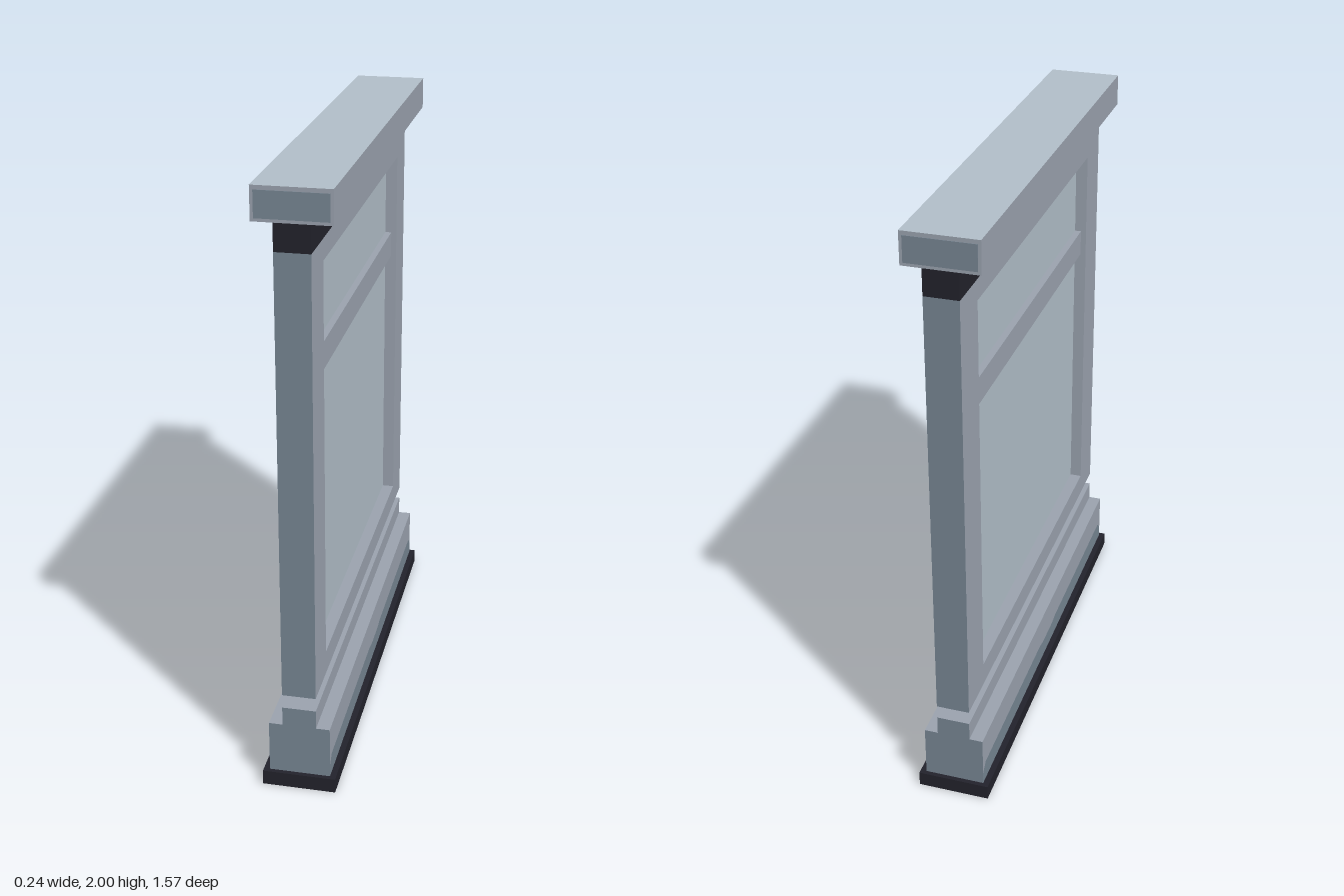
import * as THREE from 'three';

const mat = (name, color, side = THREE.FrontSide) => {
  const m = new THREE.MeshStandardMaterial({ color, side });
  m.name = name;
  return m;
};

export function createModel() {
  const group = new THREE.Group();
  const frameGrey = mat('frameGrey', 0x9aa2ae, THREE.DoubleSide);
  const slate = mat('slate', 0x768592, THREE.DoubleSide);
  const paleBlue = mat('paleBlue', 0xb1bec8);
  const nearBlack = mat('nearBlack', 0x22222b);

  const add = (name, geometry, material) => {
    const mesh = new THREE.Mesh(geometry, material);
    mesh.name = name;
    group.add(mesh);
    return mesh;
  };
  // Box from half width, height range and depth range
  const box = (name, hx, y0, y1, z0, z1, material) => {
    const m = add(name, new THREE.BoxGeometry(hx * 2, y1 - y0, z1 - z0), material);
    m.position.set(0, (y0 + y1) / 2, (z0 + z1) / 2);
    return m;
  };
  // Six face materials: sides, top, bottom, +z end, -z end
  const faces = (side, top, front, back) => [side, side, top, side, front, back];
  const outline = (points) => new THREE.Shape(points.map(([a, b]) => new THREE.Vector2(a, b)));

  const L = 0.77; // half length of the body
  const W = 0.055; // half thickness of the panel

  // Cap with inset end plates, and the dark band below it
  box('cap', 0.12, 1.895, 2, -L, L, faces(frameGrey, paleBlue, frameGrey, frameGrey));
  for (const s of [-1, 1]) {
    const z = s * (L + 0.001);
    box('capEndPlate', 0.11, 1.905, 1.987, z - 0.001, z + 0.001, slate);
  }
  box('darkBand', W, 1.81, 1.895, -L, L, nearBlack);

  // Window frame: stiles, rails, crossbar and glass
  box('frontStile', W, 0.34, 1.81, 0.617, L, faces(frameGrey, frameGrey, slate, frameGrey));
  box('backStile', W, 0.34, 1.81, -L, -0.617, faces(frameGrey, frameGrey, frameGrey, slate));
  box('topRail', W, 1.743, 1.81, -0.617, 0.617, frameGrey);
  box('bottomRail', W, 0.34, 0.42, -0.617, 0.617, frameGrey);
  box('crossbar', 0.036, 1.37, 1.46, -0.617, 0.617, frameGrey);
  box('glass', 0.014, 0.42, 1.743, -0.617, 0.617, paleBlue);

  // Upper step of the base
  box('baseStep', W, 0.228, 0.293, -L, L, faces(frameGrey, frameGrey, slate, slate));

  // Hollow base: each wall is grey above a slate skirt
  const H = 0.1;
  const skirtTop = [[L, 0.09], [0.74, 0.12], [0.1, 0.12], [0.06, 0.112],
    [-0.06, 0.112], [-0.1, 0.12], [-0.74, 0.12], [-L, 0.09]];
  const skirt = outline([[-L, 0.03], [L, 0.03], ...skirtTop]);
  const upper = outline([[-L, 0.228], ...[...skirtTop].reverse(), [L, 0.228]]);
  for (const s of [-1, 1]) {
    for (const [name, shape, material] of [['baseSkirt', skirt, slate], ['baseWall', upper, frameGrey]]) {
      const wall = add(name, new THREE.ShapeGeometry(shape), material);
      wall.rotation.y = s * Math.PI / 2;
      wall.position.x = s * H;
    }
    const end = add('baseEnd', new THREE.PlaneGeometry(H * 2, 0.198), slate);
    end.rotation.y = s > 0 ? 0 : Math.PI;
    end.position.set(0, 0.129, s * L);
  }
  const ledge = add('baseLedge', new THREE.PlaneGeometry(H * 2, L * 2), frameGrey);
  ledge.rotation.x = -Math.PI / 2;
  ledge.position.y = 0.228;

  // Dark foot ring, open in the middle
  const rect = (x, z) => [[-x, -z], [x, -z], [x, z], [-x, z]];
  const ring = outline(rect(0.12, 0.785));
  ring.holes.push(outline(rect(0.088, 0.752)));
  const foot = add('footRing', new THREE.ExtrudeGeometry(ring, { depth: 0.05, bevelEnabled: false }), nearBlack);
  foot.rotation.x = -Math.PI / 2;

  return group;
}
